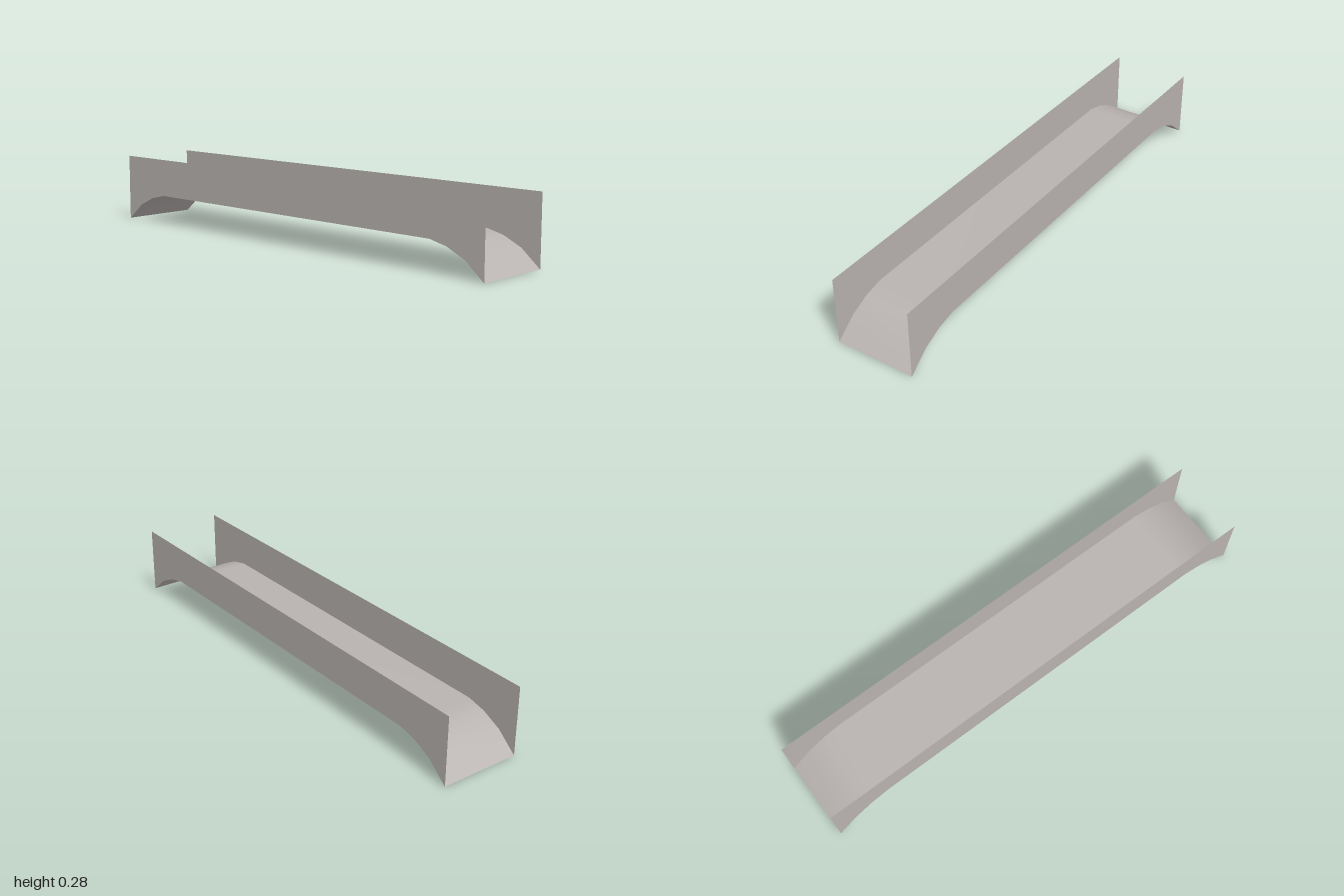
import * as THREE from 'three';

const TOP = 0.285;
const HALF_WIDTH = 0.167;

export function createModel() {
  const model = new THREE.Group();
  model.name = 'channelBeam';

  const warmGrey = new THREE.MeshStandardMaterial({ color: 0xb8b2b0, side: THREE.DoubleSide });
  warmGrey.name = 'warmGrey';

  // Underside curve: one flared end, mirrored to the other
  const end = [[-1, 0], [-0.915, 0.07], [-0.835, 0.107], [-0.755, 0.125]];
  const profile = [...end, ...end.map(([x, y]) => [-x, y]).reverse()];

  // Side walls: thin sheets that follow the curve along the bottom
  const outline = [...profile, [1, TOP], [-1, TOP]].map(([x, y]) => new THREE.Vector2(x, y));
  const wallGeometry = new THREE.ShapeGeometry(new THREE.Shape(outline));
  for (const side of [1, -1]) {
    const wall = new THREE.Mesh(wallGeometry, warmGrey);
    wall.name = side > 0 ? 'frontWall' : 'backWall';
    wall.position.z = side * HALF_WIDTH;
    if (side < 0) wall.rotation.y = Math.PI;
    model.add(wall);
  }

  // Floor: a smooth sheet swept across the width
  const positions = [];
  const indices = [];
  profile.forEach(([x, y], i) => {
    positions.push(x, y, HALF_WIDTH, x, y, -HALF_WIDTH);
    if (i === 0) return;
    const a = 2 * (i - 1);
    indices.push(a, a + 2, a + 3, a, a + 3, a + 1);
  });
  const floorGeometry = new THREE.BufferGeometry();
  floorGeometry.setAttribute('position', new THREE.Float32BufferAttribute(positions, 3));
  floorGeometry.setIndex(indices);
  floorGeometry.computeVertexNormals();
  const floor = new THREE.Mesh(floorGeometry, warmGrey);
  floor.name = 'curvedFloor';
  model.add(floor);

  return model;
}
